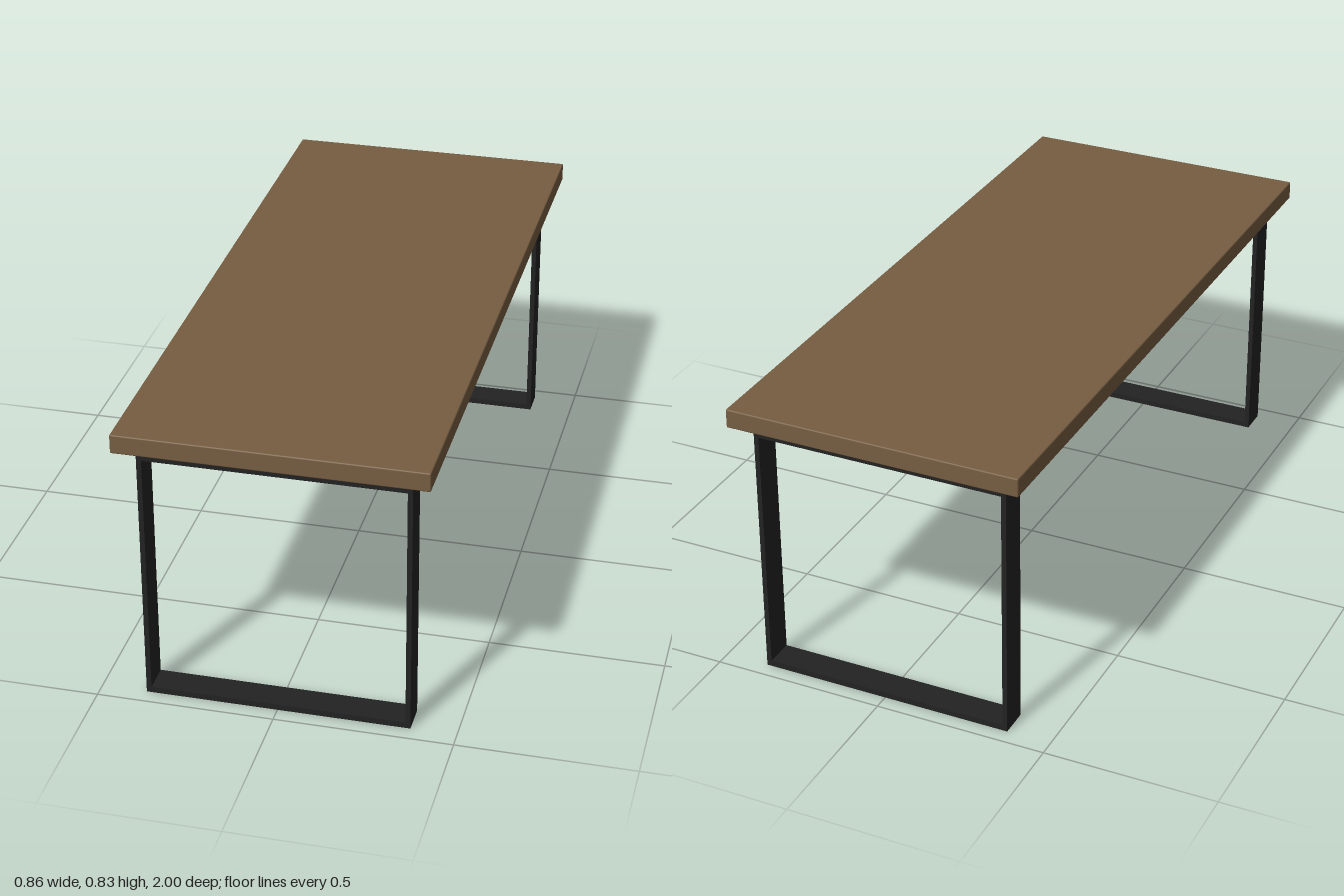
import * as THREE from 'three';
import { RoundedBoxGeometry } from 'three/addons/geometries/RoundedBoxGeometry.js';

const wood = new THREE.MeshStandardMaterial({ name: 'brown wood', color: 0x765d41 });
const metal = new THREE.MeshStandardMaterial({ name: 'black metal', color: 0x222222 });

// Flat rectangular frame in the xy plane with a rectangular opening, extruded along z
function frameGeometry(outer, inner, depth) {
  const points = ([x0, y0, x1, y1]) =>
    [[x0, y0], [x1, y0], [x1, y1], [x0, y1]].map(([x, y]) => new THREE.Vector2(x, y));
  const shape = new THREE.Shape(points(outer));
  shape.holes.push(new THREE.Path(points(inner)));
  return new THREE.ExtrudeGeometry(shape, { depth, bevelEnabled: false });
}

export function createModel() {
  const table = new THREE.Group();
  table.name = 'table';

  const add = (name, geometry, material, x, y, z) => {
    const mesh = new THREE.Mesh(geometry, material);
    mesh.name = name;
    mesh.position.set(x, y, z);
    table.add(mesh);
    return mesh;
  };

  // Thick top with slightly eased edges
  add('tableTop', new RoundedBoxGeometry(0.855, 0.055, 2, 2, 0.004), wood, 0, 0.8025, 0);

  // Flat support frame under the top
  const support = frameGeometry([-0.372, -0.955, 0.372, 0.955], [-0.324, -0.907, 0.324, 0.907], 0.02);
  add('supportFrame', support, metal, 0, 0.775, 0).rotation.x = Math.PI / 2;

  // Closed loop of wide flat bar at each end
  const legs = frameGeometry([-0.372, 0, 0.372, 0.755], [-0.358, 0.017, 0.358, 0.737], 0.085);
  add('frontLegFrame', legs, metal, 0, 0, 0.87);
  add('backLegFrame', legs, metal, 0, 0, -0.955);

  return table;
}
